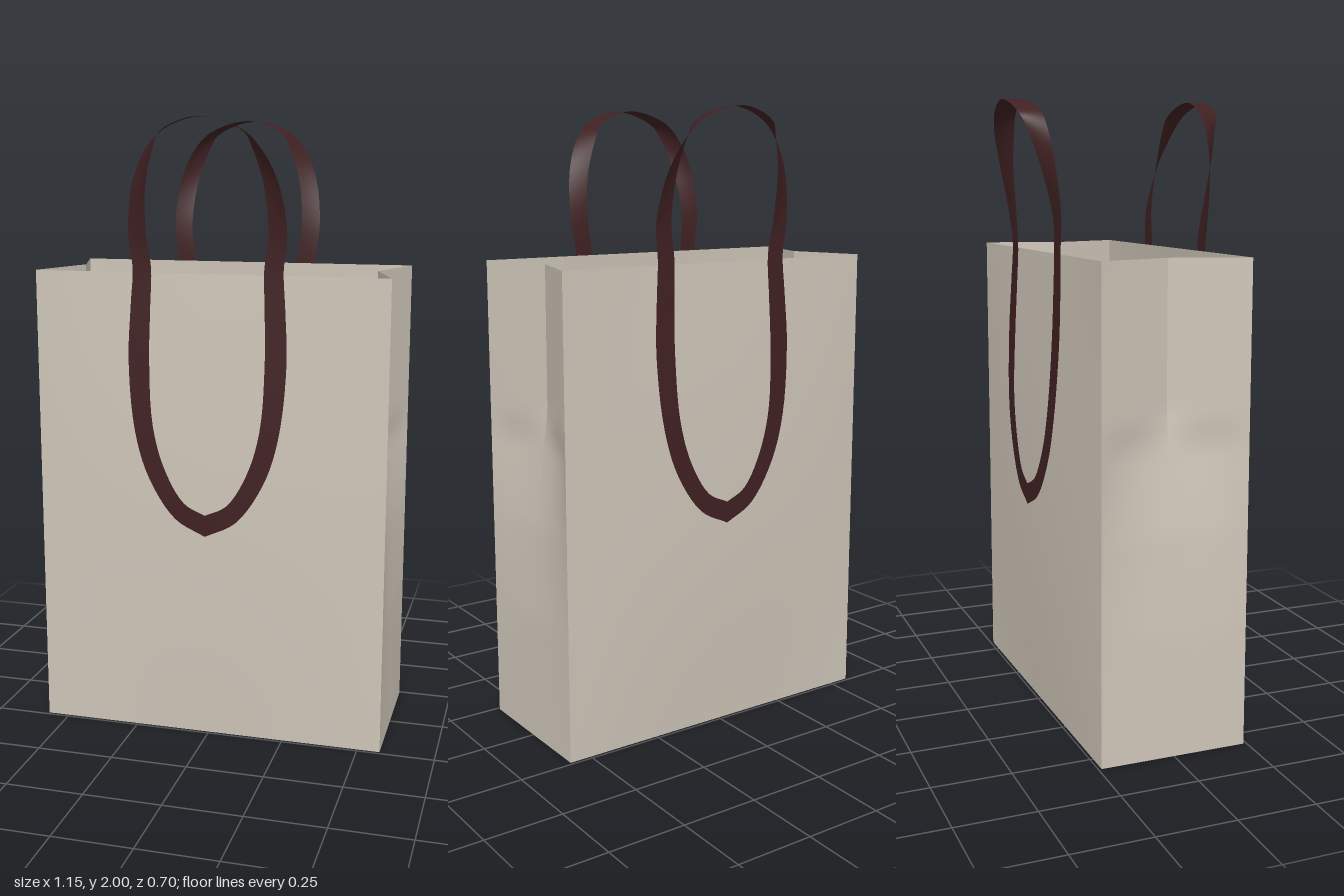
import * as THREE from 'three';

const W = 0.573, D = 0.24, H = 1.526;

// Smooth surface from a rule f(u, v) -> [x, y, z], with u and v in 0..1
function patch(nu, nv, f) {
  const pos = [], idx = [];
  for (let j = 0; j <= nv; j++)
    for (let i = 0; i <= nu; i++) pos.push(...f(i / nu, j / nv));
  for (let j = 0; j < nv; j++)
    for (let i = 0; i < nu; i++) {
      const a = j * (nu + 1) + i, b = a + 1, c = a + nu + 1, d = c + 1;
      idx.push(a, b, d, a, d, c);
    }
  const g = new THREE.BufferGeometry();
  g.setAttribute('position', new THREE.Float32BufferAttribute(pos, 3));
  g.setIndex(idx);
  g.computeVertexNormals();
  return g;
}

// How far the middle of a side is folded in at height y
function foldDepth(y) {
  const keys = [[0, 0], [0.4, 0.008], [0.7, 0.028], [0.95, 0.06], [1.07, 0.076], [H, 0.078]];
  for (let i = 1; i < keys.length; i++) {
    const [y0, d0] = keys[i - 1], [y1, d1] = keys[i];
    if (y <= y1 + 1e-6) return d0 + (d1 - d0) * (y - y0) / (y1 - y0);
  }
  return 0.078;
}

const bulge = (x, y) => D + 0.02 * (1 - (x / W) ** 2) * Math.sin(Math.PI * y / H);

// Strap half, bottom to top: outer x, y, inner x, y, rear z, front z
const STRAP = [
  [0, 0.69, 0, 0.76, 0.28, 0.28],
  [0.1, 0.742, 0.07, 0.795, 0.277, 0.277],
  [0.188, 0.87, 0.135, 0.9, 0.272, 0.272],
  [0.235, 1.02, 0.175, 1.04, 0.267, 0.267],
  [0.257, 1.25, 0.188, 1.25, 0.256, 0.256],
  [0.25, 1.42, 0.185, 1.42, 0.248, 0.248],
  [0.243, 1.54, 0.182, 1.54, 0.244, 0.244],
  [0.255, 1.65, 0.195, 1.65, 0.246, 0.253],
  [0.236, 1.8, 0.182, 1.8, 0.258, 0.288],
  [0.192, 1.9, 0.147, 1.91, 0.264, 0.318],
  [0.132, 1.962, 0.122, 1.955, 0.268, 0.335],
  [0, 2, 0, 1.999, 0.28, 0.349],
];

function strapGeometry() {
  // The strap makes a half turn over the top, so inner and outer edges swap
  const edgeA = [], edgeB = [];
  for (const [ox, oy, ix, iy, zr, zf] of STRAP) {
    edgeA.push(new THREE.Vector3(-ix, iy, zf));
    edgeB.push(new THREE.Vector3(-ox, oy, zr));
  }
  for (const [ox, oy, ix, iy, zr, zf] of STRAP.slice(0, -1).reverse()) {
    edgeA.push(new THREE.Vector3(ox, oy, zf));
    edgeB.push(new THREE.Vector3(ix, iy, zr));
  }
  const a = new THREE.CatmullRomCurve3(edgeA), b = new THREE.CatmullRomCurve3(edgeB);
  return patch(4, 110, (u, v) => b.getPoint(v).lerp(a.getPoint(v), u).toArray());
}

export function createModel() {
  const bag = new THREE.Group();
  bag.name = 'carrierBag';
  const paper = new THREE.MeshStandardMaterial({ color: 0xcfc6b9, side: THREE.DoubleSide });
  paper.name = 'warm beige paper';
  const ribbon = new THREE.MeshStandardMaterial({ color: 0x402022, side: THREE.DoubleSide });
  ribbon.name = 'dark brown ribbon';

  const add = (name, geometry, material, parent = bag) => {
    const m = new THREE.Mesh(geometry, material);
    m.name = name;
    parent.add(m);
    return m;
  };

  // Front and back share one half, turned around
  for (const [name, turn] of [['front', 0], ['back', Math.PI]]) {
    const half = new THREE.Group();
    half.name = name + 'Half';
    half.rotation.y = turn;
    bag.add(half);

    // Gently bulging wall
    add(name + 'Panel', patch(24, 24, (u, v) => {
      const x = (u * 2 - 1) * W, y = v * H;
      return [x, y, bulge(x, y)];
    }), paper, half);

    // Ribbon ends showing through the wall inside
    for (const s of [-1, 1]) {
      const slit = add('ribbonSlit', new THREE.BoxGeometry(0.07, 0.01, 0.004), ribbon, half);
      slit.position.set(s * 0.21, 1.39, bulge(0.21, 1.39) - 0.003);
    }
  }

  // Handle straps, mirrored front to back
  const strap = strapGeometry();
  add('frontHandle', strap, ribbon);
  const mirrored = strap.clone().scale(1, 1, -1);
  mirrored.setIndex(Array.from(strap.index.array).reverse());
  mirrored.computeVertexNormals();
  add('backHandle', mirrored, ribbon);

  // Folded sides: a sharp crease at the top easing into a soft hollow below
  for (const [name, turn] of [['left', 0], ['right', Math.PI]])
    for (const part of [0, 1])
      add(name + 'Gusset', patch(8, 48, (u, v) => {
        const z = D * (part ? 1 - u : -u), y = v * H;
        const t = Math.abs(z) / D, sharp = THREE.MathUtils.smoothstep(y, 0.94, 1.07);
        const shape = (1 - t) * sharp + (1 - t * t) * (1 - sharp);
        return [W - foldDepth(y) * shape, y, z];
      }), paper).rotation.y = turn;

  // Flat base
  add('base', patch(1, 1, (u, v) => [(u * 2 - 1) * W, 0, (v * 2 - 1) * D]), paper);
  return bag;
}
